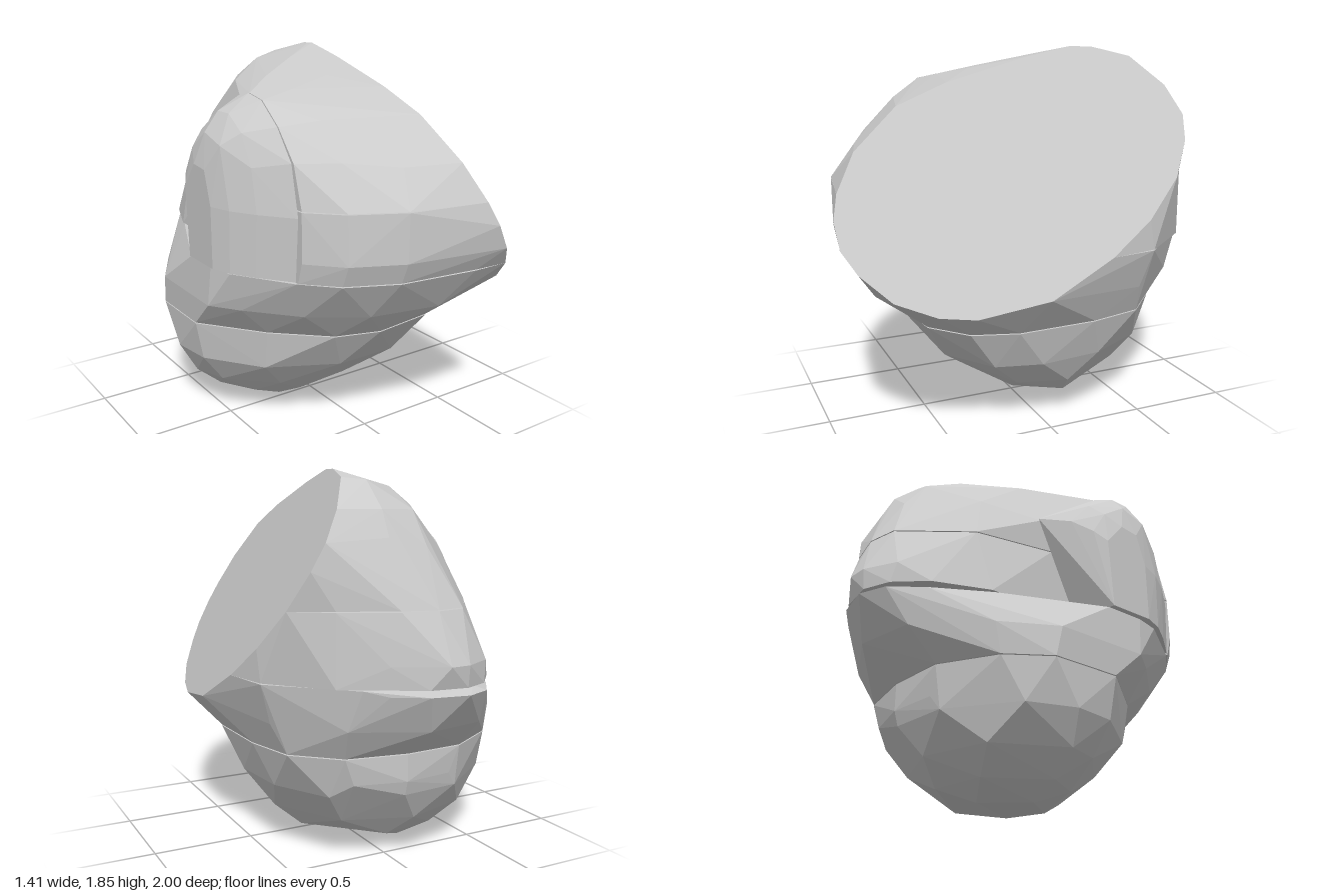
import * as THREE from 'three';
import { ConvexGeometry } from 'three/addons/geometries/ConvexGeometry.js';

const material = new THREE.MeshStandardMaterial({ color: 0xcccccc, flatShading: true });

// The slanted flat cut: x as a function of y and z
const cutX = (y, z) => 1.11 - 0.169 * z - 0.525 * y;

// Outline of the flat cut as [z, y]
const cutOutline = [
  [1, 1.12], [0.97, 1.23], [0.87, 1.4], [0.65, 1.59], [0.4, 1.69], [0, 1.8], [-0.24, 1.85],
  [-0.35, 1.845], [-0.53, 1.8], [-0.68, 1.66], [-0.74, 1.52], [-0.72, 1.4], [-0.63, 1.23],
  [-0.45, 1.05], [-0.23, 0.9], [0.1, 0.74], [0.45, 0.69], [0.62, 0.71], [0.8, 0.78],
  [0.93, 0.9], [0.99, 1],
];
const cutBetween = (low, high) => cutOutline
  .filter(([, y]) => y >= low && y <= high)
  .map(([z, y]) => [cutX(y, z), y, z]);

// Horizontal cross-section from [x, z] pairs
const level = (y, loop) => loop.map(([x, z]) => [x, y, z]);
// Cross-section across x from [y, z] pairs
const slice = (x, loop) => loop.map(([y, z]) => [x, y, z]);

// Convex piece, trimmed so nothing passes the flat cut
function piece(name, points) {
  const vectors = points.map(([x, y, z]) => new THREE.Vector3(Math.min(x, cutX(y, z)), y, z));
  const mesh = new THREE.Mesh(new ConvexGeometry(vectors), material);
  mesh.name = name;
  return mesh;
}

export function createModel() {
  const group = new THREE.Group();
  group.name = 'cutBoulder';

  // Cross-sections at the seams
  const lowSeam = [
    [-0.69, -0.33], [-0.56, -0.53], [-0.3, -0.69], [0, -0.71], [0.3, -0.66], [0.5, -0.47],
    [0.56, -0.2], [0.57, 0.2], [0.5, 0.42], [0.32, 0.57], [0, 0.61], [-0.22, 0.54],
    [-0.46, 0.32], [-0.69, 0.02],
  ];
  const midSeam = [
    [0.63, -0.48], [0.4, -0.76], [0.2, -0.87], [0.05, -0.96], [-0.13, -0.98], [-0.26, -0.92],
    [-0.38, -0.78], [-0.48, -0.52], [0.3, 0.92], [-0.1, 0.87], [-0.34, 0.76], [-0.48, 0.62],
  ];
  const highSeam = [
    [0.4, -0.76], [0.15, -0.88], [-0.02, -0.91], [-0.17, -0.87], [-0.4, -0.56], [-0.48, -0.17],
    [-0.1, 0.91], [-0.34, 0.79], [-0.48, 0.65],
  ];

  // Rounded base
  group.add(piece('base', [
    ...level(0.55, lowSeam),
    ...level(0.42, [[0, -0.71], [0.25, -0.65], [-0.25, -0.68]]),
    ...level(0.35, [
      [-0.68, -0.2], [-0.6, -0.43], [-0.3, -0.66], [0, -0.69], [0.33, -0.56], [0.48, -0.27],
      [0.51, 0.05], [0.45, 0.28], [0.2, 0.45], [-0.12, 0.45], [-0.45, 0.28], [-0.65, 0.01],
    ]),
    ...level(0.2, [
      [-0.6, -0.17], [-0.43, -0.5], [-0.1, -0.61], [0.23, -0.49], [0.42, -0.13],
      [0.35, 0.12], [0.02, 0.28], [-0.32, 0.21], [-0.54, 0],
    ]),
    ...level(0.09, [
      [-0.47, -0.16], [-0.3, -0.44], [-0.02, -0.49], [0.29, -0.17], [0.15, 0.06], [-0.15, 0.13], [-0.36, 0.02],
    ]),
    ...level(0.02, [[-0.32, -0.16], [-0.16, -0.36], [-0.2, 0]]),
    [-0.08, 0, -0.13],
  ]));

  // Flaring band above the base
  group.add(piece('lowerBand', [
    ...level(0.555, lowSeam),
    ...level(0.7, [
      [-0.7, -0.3], [-0.56, -0.56], [-0.3, -0.84], [0, -0.9], [0.33, -0.74], [0.57, -0.44],
      [0.2, 0.79], [-0.15, 0.72], [-0.4, 0.55], [-0.6, 0.32], [-0.7, 0.18],
    ]),
    ...level(0.87, [[0.2, -0.88], [0.05, -0.97], [-0.13, -1], [-0.26, -0.94], [-0.37, -0.79]]),
    ...level(0.895, [
      [0.3, 0.92], [-0.1, 0.87], [-0.34, 0.76], [-0.48, 0.61], [-0.66, 0.33], [-0.69, 0.2], [-0.69, 0],
      [-0.48, -0.5], [-0.2, -0.92], [0.3, -0.82], [0.63, -0.48],
    ]),
    ...cutBetween(0.6, 0.9),
  ]));

  // Widest band
  group.add(piece('middleBand', [
    ...level(0.9, midSeam),
    ...level(1, [[-0.03, -1], [-0.13, -0.99], [0.2, -0.88], [-0.28, -0.9], [-0.1, 0.91], [-0.34, 0.8], [-0.48, 0.65]]),
    ...level(1.23, highSeam),
    ...cutBetween(0.9, 1.23),
  ]));

  // Crown
  group.add(piece('crown', [
    ...level(1.235, highSeam),
    ...slice(-0.48, [[1.43, 0.59], [1.57, 0.47], [1.67, 0.34], [1.69, 0.23], [1.67, 0.14], [1.39, -0.23]]),
    ...slice(-0.3, [[1.43, 0.69], [1.59, 0.53], [1.7, 0.3], [1.74, 0.08], [1.69, -0.22], [1.5, -0.47]]),
    ...slice(-0.05, [[1.4, 0.8], [1.6, 0.57], [1.74, 0.22], [1.8, -0.1], [1.77, -0.43], [1.66, -0.64], [1.5, -0.76]]),
    ...slice(0.15, [[1.845, -0.25], [1.79, -0.57], [1.66, -0.71], [1.54, -0.77]]),
    ...cutBetween(1.23, 1.85),
  ]));

  // Bulge on the side opposite the flat cut
  group.add(piece('sideBulge', [
    ...slice(-0.485, [
      [0.905, -0.03], [1.39, -0.25], [1.67, 0.14], [1.69, 0.23], [1.67, 0.34],
      [1.57, 0.47], [1.43, 0.58], [1.2, 0.63], [0.905, 0.61],
    ]),
    ...slice(-0.6, [
      [1.36, -0.14], [1.5, -0.02], [1.61, 0.15], [1.61, 0.25], [1.54, 0.36], [1.4, 0.44], [1.2, 0.48], [0.905, 0.46],
    ]),
    ...slice(-0.67, [[1.3, -0.06], [1.43, 0.02], [1.52, 0.15], [1.48, 0.29], [1.2, 0.36], [0.905, 0.35]]),
    ...slice(-0.705, [[0.905, 0.02], [1.25, 0], [1.37, 0.1], [1.36, 0.2], [1.2, 0.25], [0.905, 0.25]]),
  ]));

  return group;
}
